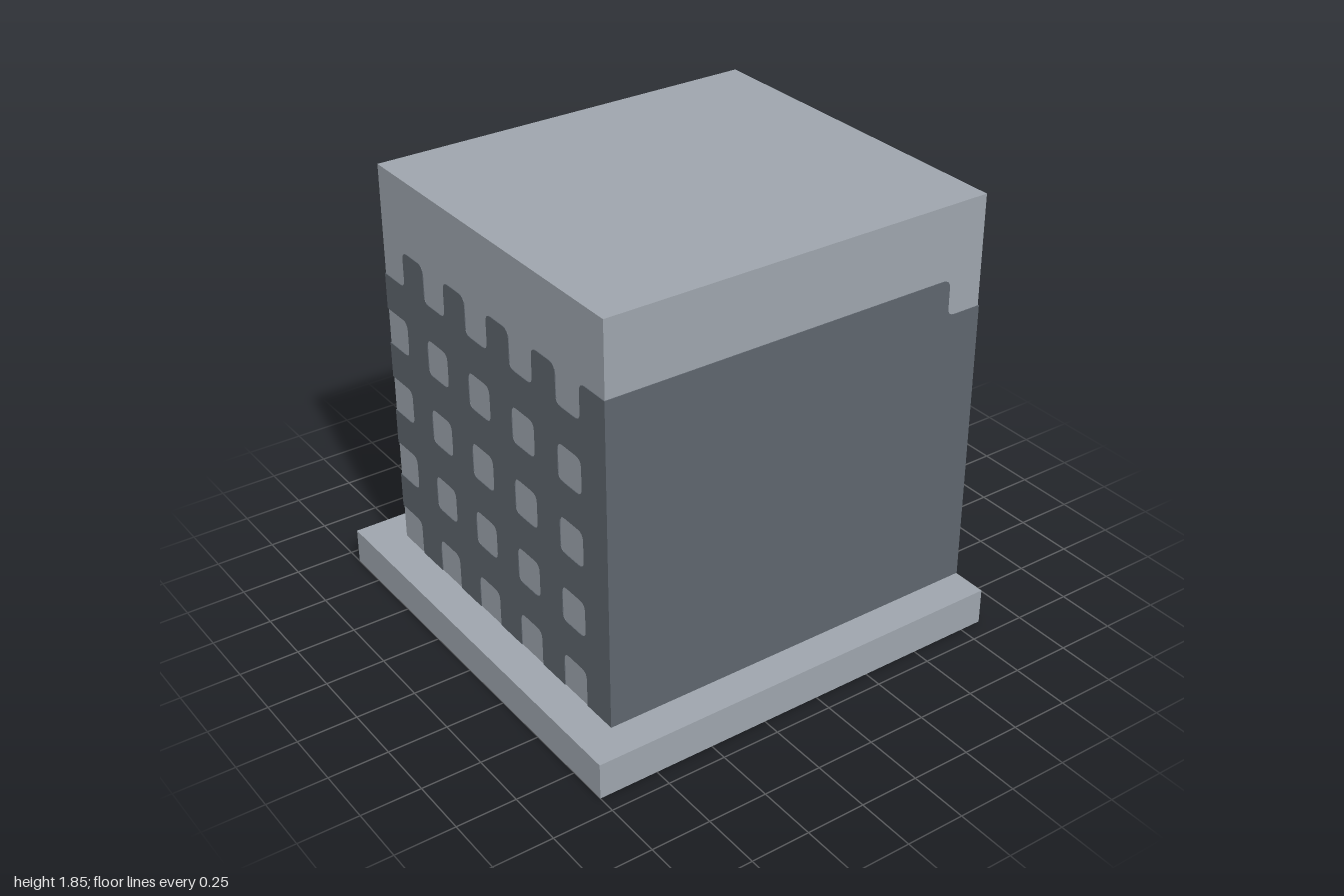
import * as THREE from 'three';

const U = 2 / 13;   // one grid cell
const T = 0.02;     // thickness of the dark plates, in cells
const R = 0.22;     // corner rounding, in cells

// Closed outline from [x, y, rounded] points
function outline(points, target = new THREE.Shape()) {
  const n = points.length;
  points.forEach(([x, y, round], i) => {
    const toward = ([px, py]) => {
      const d = Math.hypot(px - x, py - y);
      return [x + (px - x) * R / d, y + (py - y) * R / d];
    };
    const a = round ? toward(points[(i + n - 1) % n]) : [x, y];
    if (i === 0) target.moveTo(...a); else target.lineTo(...a);
    if (round) target.quadraticCurveTo(x, y, ...toward(points[(i + 1) % n]));
  });
  target.closePath();
  return target;
}

const rect = (x0, y0, x1, y1, round) =>
  [[x0, y0, round], [x1, y0, round], [x1, y1, round], [x0, y1, round]];

// Lattice of dark bars, the first light column starting at s; m = -1 mirrors it
function lattice(s, columns, m) {
  const end = s + columns * 2;
  const cols = Array.from({ length: columns - 1 }, (_, i) => s + 2 + i * 2);
  const p = [[s, 9]];
  for (const y of [7, 5, 3]) p.push([s, y + 1], [s + 1, y + 1, 1], [s + 1, y, 1], [s, y]);
  p.push([s, 2], [s + 1, 2, 1], [s + 1, 1]);
  for (const c of cols) p.push([c, 1], [c, 2, 1], [c + 1, 2, 1], [c + 1, 1]);
  p.push([end, 1], [end, 10]);
  for (const c of [...cols].reverse()) p.push([c + 1, 10, 1], [c + 1, 9, 1], [c, 9, 1], [c, 10, 1]);
  p.push([s + 1, 10, 1], [s + 1, 9, 1]);
  const flip = (pts) => pts.map(([x, y, r]) => [x * m, y, r]);
  const shape = outline(flip(p));
  for (const c of cols) for (const y of [3, 5, 7])
    shape.holes.push(outline(flip(rect(c, y, c + 1, y + 1, 1)), new THREE.Path()));
  return shape;
}

export function createModel() {
  const light = new THREE.MeshStandardMaterial({ color: 0x9ea5ad });
  light.name = 'lightGrey';
  const dark = new THREE.MeshStandardMaterial({ color: 0x5e656d });
  dark.name = 'darkGrey';
  const model = new THREE.Group();
  model.name = 'latticeBox';

  const add = (name, geometry, material) => {
    geometry.scale(U, U, U);
    const mesh = new THREE.Mesh(geometry, material);
    mesh.name = name;
    model.add(mesh);
    return mesh;
  };
  const box = (name, [x0, x1], [y0, y1], [z0, z1]) => add(name,
    new THREE.BoxGeometry(x1 - x0, y1 - y0, z1 - z0)
      .translate((x0 + x1) / 2, (y0 + y1) / 2, (z0 + z1) / 2), light);
  const extrude = (shape, depth) =>
    new THREE.ExtrudeGeometry(shape, { depth, bevelEnabled: false, curveSegments: 4 });
  // Thin dark plate, turned about y and pushed out to distance d
  const plate = (name, shape, d, angle) =>
    add(name, extrude(shape, T).translate(0, 0, d).rotateY(angle), dark);

  // Base frame, open in the middle
  const frame = outline(rect(-6, -6.5, 6, 5.5));
  frame.holes.push(outline(rect(-4, -4.5, 4, 4.5), new THREE.Path()));
  add('baseFrame', extrude(frame, 1).rotateX(-Math.PI / 2), light);

  // Hollow body
  box('leftWall', [4, 5], [1, 10], [-5.5, 5.5]);
  box('rightWall', [-5, -4], [1, 10], [-5.5, 5.5]);
  box('frontWall', [-4, 4], [1, 10], [4.5, 5.5]);
  box('roof', [-5, 5], [10, 12], [-5.5, 5.5]);
  const back = outline(rect(-4, 1, 4, 10));
  back.holes.push(outline(rect(-3, 2, 3, 8), new THREE.Path()));
  add('backWall', extrude(back, 1).translate(0, 0, -5.5), light);

  // Block standing out from the back
  box('backHandle', [-1, 1], [5, 10], [-6.5, -5.5]);

  // Lattice on both sides of the front wall
  plate('frontLattice', lattice(-5, 5, 1), 5.5, 0);
  plate('innerFrontLattice', lattice(-4, 4, -1), -4.5, Math.PI);

  // Dark side panels, stepped at the back; the right one is notched at the front
  const E = 5.5 + T;
  const left = [[4.5, 10, 1], [4.5, 9, 1], [E, 9], [E, 1], [-E, 1], [-E, 10]];
  plate('leftPanel', outline(left), 5, Math.PI / 2);
  const right = [[-4.5, 10, 1], [-4.5, 9, 1], [-E, 9], [-E, 1], [4.5, 1]];
  for (const y of [2, 4, 6, 8]) {
    right.push([4.5, y, 1], [E, y], [E, y + 1]);
    right.push([4.5, y + 1, 1]);
  }
  right.push([4.5, 10]);
  plate('rightPanel', outline(right), 5, -Math.PI / 2);

  for (const s of [-1, 1]) {
    const side = s > 0 ? 'Left' : 'Right';
    plate('inner' + side + 'Panel', outline(rect(-4.5, 1, 4.5, 10)), -4, -s * Math.PI / 2);
    // Corner strip on the back face, rounded on its inner edge
    const strip = [[-s * 4, 1, 1], [-s * 5, 1], [-s * 5, 9], [-s * 4, 9, 1]];
    plate('back' + side + 'Strip', outline(strip), 5.5, Math.PI);
  }
  return model;
}
